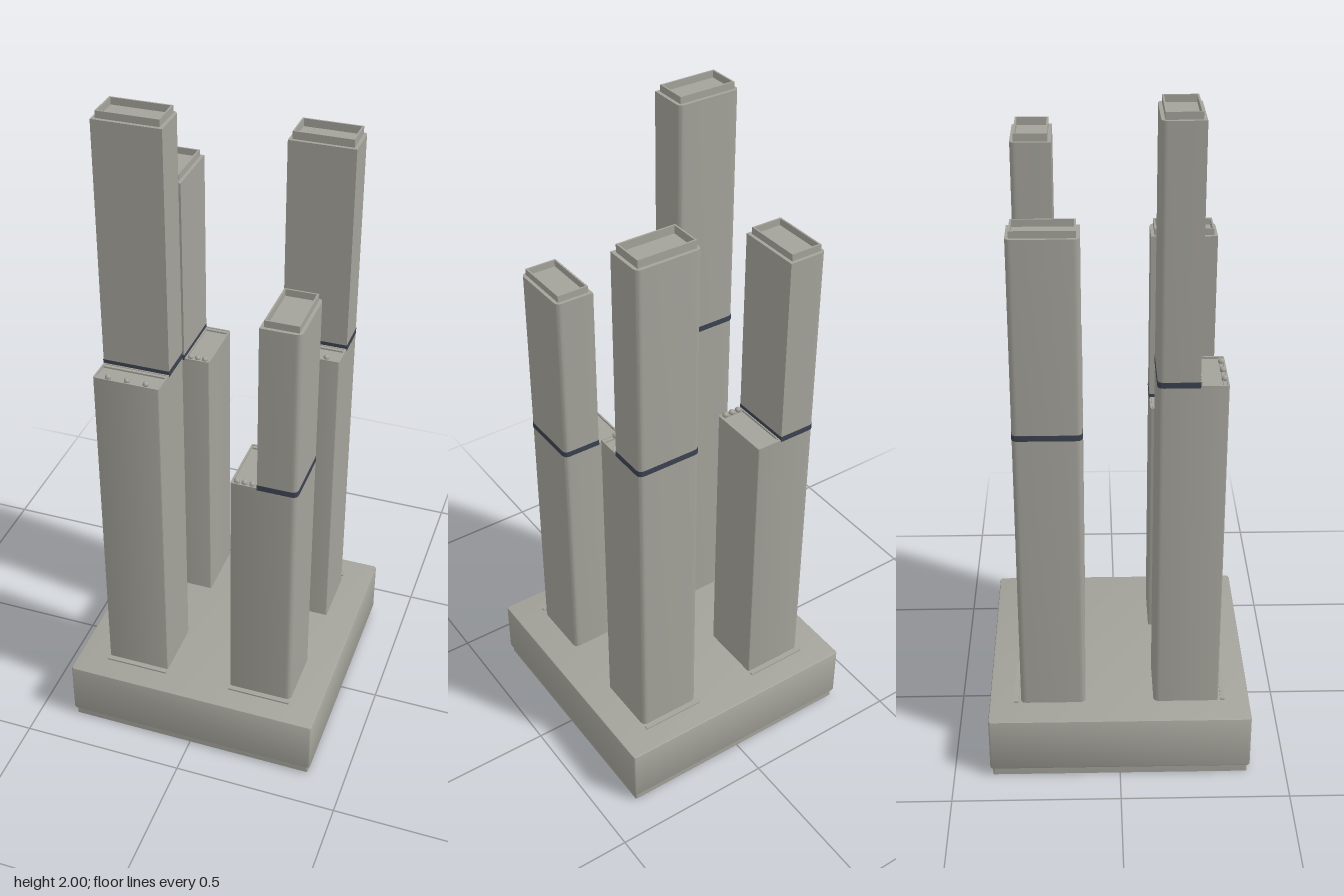
import * as THREE from 'three';
import { toCreasedNormals } from 'three/addons/utils/BufferGeometryUtils.js';

const concrete = new THREE.MeshStandardMaterial({ color: 0xa3a29a });
concrete.name = 'warm grey concrete';
const glass = new THREE.MeshStandardMaterial({ color: 0x3b4250 });
glass.name = 'dark slate glazing';

// Trace a rectangle seen from above; radii run back-left, back-right, front-right, front-left
function trace(path, [x0, x1, z0, z1], [a, b, c, d]) {
  const y0 = -z1, y1 = -z0; // shape y becomes -z once laid flat
  path.moveTo(x0 + d, y0);
  path.lineTo(x1 - c, y0);
  if (c) path.quadraticCurveTo(x1, y0, x1, y0 + c);
  path.lineTo(x1, y1 - b);
  if (b) path.quadraticCurveTo(x1, y1, x1 - b, y1);
  path.lineTo(x0 + a, y1);
  if (a) path.quadraticCurveTo(x0, y1, x0, y1 - a);
  path.lineTo(x0, y0 + d);
  if (d) path.quadraticCurveTo(x0, y0, x0 + d, y0);
  return path;
}

const inset = ([x0, x1, z0, z1], t) => [x0 + t, x1 - t, z0 + t, z1 - t];
const SQUARE = [0, 0, 0, 0];

// Upright prism over a plan rectangle; wall > 0 leaves a hollow ring, bevel softens the edges
function prism(name, rect, y0, y1, { radii = SQUARE, wall = 0, bevel = 0, material = concrete } = {}) {
  const shape = trace(new THREE.Shape(), inset(rect, bevel), radii);
  if (wall) shape.holes.push(trace(new THREE.Path(), inset(rect, wall), SQUARE));
  const geo = new THREE.ExtrudeGeometry(shape, {
    depth: y1 - y0 - 2 * bevel, curveSegments: 5,
    bevelEnabled: bevel > 0, bevelThickness: bevel, bevelSize: bevel, bevelSegments: 2,
  });
  geo.rotateX(-Math.PI / 2).translate(0, y0 + bevel, 0);
  const mesh = new THREE.Mesh(toCreasedNormals(geo, 0.6), material);
  mesh.name = name;
  return mesh;
}

// Tower with a set-back upper block; side tells where the open terrace lies
function tower({ name, x, z, side, deck, roof, top }) {
  const g = new THREE.Group();
  g.name = name;
  const h = 0.0975, split = 0.116, R = 0.018, r = 0.006;
  const plot = [x - h, x + h, z - h, z + h];
  const [x0, x1, z0, z1] = plot;
  const plan = {
    front: { block: [x0, x1, z0, z0 + split], terrace: [x0, x1, z0 + split, z1], round: [1, 1, 0, 0] },
    right: { block: [x0, x0 + split, z0, z1], terrace: [x0 + split, x1, z0, z1], round: [1, 0, 0, 1] },
    left: { block: [x1 - split, x1, z0, z1], terrace: [x0, x1 - split, z0, z1], round: [0, 1, 1, 0] },
  }[side];
  const blockRadii = plan.round.map((k) => k * R);
  const plotRadii = plan.round.map((k) => (k ? R : r));
  const terraceRadii = plan.round.map((k) => (k ? 0 : r));
  const neck = deck + 0.017;

  g.add(
    prism('lowerShaft', plot, 0.195, deck, { radii: plotRadii }),
    prism('glazedBand', inset(plan.block, -0.001), deck, neck, { radii: blockRadii, material: glass }),
    prism('upperShaft', plan.block, neck, roof, { radii: blockRadii }),
    prism('roofParapet', inset(plan.block, 0.01), roof, top, { wall: 0.005 }),
    prism('terraceParapet', plan.terrace, deck, deck + 0.006, { radii: terraceRadii, wall: 0.005 }),
  );

  // Terrace bench along the back, planter with three shrubs along the front
  const [tx0, tx1, tz0, tz1] = plan.terrace;
  g.add(
    prism('terraceBench', [tx0 + 0.006, tx1 - 0.006, tz0 + 0.006, tz0 + 0.016], deck, deck + 0.005),
    prism('terracePlanter', [tx0 + 0.006, tx1 - 0.006, tz1 - 0.016, tz1 - 0.006], deck, deck + 0.005),
  );
  for (const k of [-1, 0, 1]) {
    const shrub = new THREE.Mesh(new THREE.SphereGeometry(0.009, 8, 6), concrete);
    shrub.name = 'shrub';
    shrub.position.set((tx0 + tx1) / 2 + k * 0.285 * (tx1 - tx0), deck + 0.009, tz1 - 0.011);
    g.add(shrub);
  }

  // Entrance step on the outer side
  const s = Math.sign(z), near = z + s * 0.105, far = z + s * 0.118;
  g.add(prism('entranceStep', [x0, x1, Math.min(near, far), Math.max(near, far)], 0.198, 0.205));
  return g;
}

export function createModel() {
  const model = new THREE.Group();
  model.name = 'towerCluster';

  // Shared base: recessed plinth below a softened slab
  const corner = [0.006, 0.006, 0.006, 0.006];
  model.add(
    prism('plinth', [-0.384, 0.384, -0.384, 0.384], 0, 0.03, { radii: corner }),
    prism('baseSlab', [-0.392, 0.392, -0.392, 0.392], 0.026, 0.2, { radii: corner, bevel: 0.005 }),
  );

  const towers = [
    { name: 'frontLeftTower', x: -0.2, z: 0.2, side: 'front', deck: 1.247, roof: 1.98, top: 2.0 },
    { name: 'frontRightTower', x: 0.2, z: 0.2, side: 'left', deck: 0.982, roof: 1.507, top: 1.527 },
    { name: 'backRightTower', x: 0.2, z: -0.2, side: 'front', deck: 1.176, roof: 1.812, top: 1.835 },
    { name: 'backLeftTower', x: -0.2, z: -0.2, side: 'right', deck: 1.09, roof: 1.673, top: 1.693 },
  ];
  for (const t of towers) model.add(tower(t));
  return model;
}
